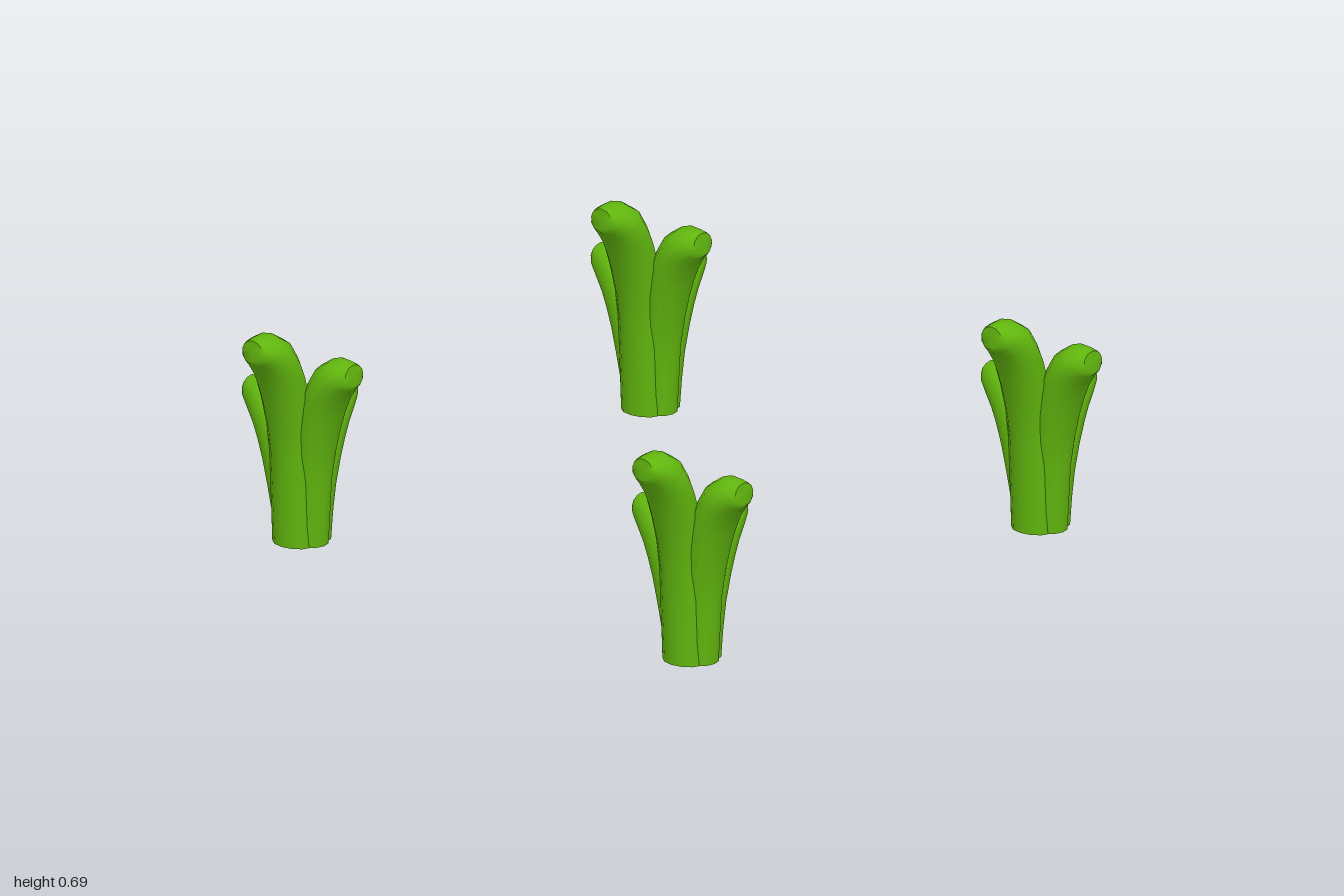
import * as THREE from 'three';
import { toCreasedNormals } from 'three/addons/utils/BufferGeometryUtils.js';

const SIDES = 12;

// Cross-sections from root to tip, measured down from the blade's top:
// outer reach, outer depth, inner reach, inner depth, half width
const SECTIONS = [
  [0.105, 0.40, -0.010, 0.38, 0.072],
  [0.115, 0.32, 0.000, 0.28, 0.075],
  [0.135, 0.24, 0.015, 0.19, 0.079],
  [0.155, 0.18, 0.033, 0.13, 0.081],
  [0.175, 0.135, 0.053, 0.085, 0.081],
  [0.200, 0.100, 0.087, 0.030, 0.078],
  [0.218, 0.082, 0.135, 0.000, 0.066],
  [0.225, 0.075, 0.185, 0.000, 0.052],
  [0.225, 0.068, 0.217, 0.004, 0.040],
];

// A blade growing up from y = 0 and bending towards +x
function bladeGeometry(height, reach, baseHalfWidth) {
  const rows = SECTIONS.map(([ro, outerDepth, ri, innerDepth, w]) =>
    [ro * reach, height - outerDepth, ri * reach, height - innerDepth, w]);
  rows.unshift([0.09, 0, -0.015, 0, baseHalfWidth]);
  rows[1][4] = (baseHalfWidth + rows[1][4]) / 2;
  const pos = [], index = [];
  for (const [ro, yo, ri, yi, w] of rows) {
    for (let j = 0; j < SIDES; j++) {
      const a = (j / SIDES) * Math.PI * 2, c = Math.cos(a);
      pos.push((ro + ri) / 2 + c * (ro - ri) / 2, (yo + yi) / 2 + c * (yo - yi) / 2, Math.sin(a) * w);
    }
  }
  // end cap centres
  const root = pos.length / 3, tip = root + 1, last = rows.length - 1;
  for (const [ro, yo, ri, yi] of [rows[0], rows[last]]) pos.push((ro + ri) / 2, (yo + yi) / 2, 0);
  for (let j = 0; j < SIDES; j++) {
    const k = (j + 1) % SIDES;
    for (let i = 0; i < last; i++) {
      const a = i * SIDES + j, b = i * SIDES + k;
      index.push(a, a + SIDES, b, b, a + SIDES, b + SIDES);
    }
    index.push(root, j, k, tip, last * SIDES + k, last * SIDES + j);
  }
  const g = new THREE.BufferGeometry();
  g.setAttribute('position', new THREE.Float32BufferAttribute(pos, 3));
  g.setIndex(index);
  return toCreasedNormals(g, 1.05);
}

export function createModel() {
  const model = new THREE.Group();
  model.name = 'grassTufts';
  const green = new THREE.MeshStandardMaterial({ color: 0x61b60e });
  green.name = 'leafGreen';

  // name, geometry, turn about y
  const blades = [
    ['tallBlade', bladeGeometry(0.69, 1, 0.07), Math.PI],
    ['frontBlade', bladeGeometry(0.605, 0.95, 0.055), -Math.PI / 2],
    ['leftBlade', bladeGeometry(0.48, 0.94, 0.07), 0],
    ['backBlade', bladeGeometry(0.48, 0.92, 0.055), Math.PI / 2],
  ];

  // One tuft at each corner
  for (const x of [-0.78, 0.78]) {
    for (const z of [-0.78, 0.78]) {
      const tuft = new THREE.Group();
      tuft.name = (z > 0 ? 'front' : 'back') + (x > 0 ? 'Left' : 'Right') + 'Tuft';
      tuft.position.set(x + 0.005, 0, z);
      for (const [name, geometry, turn] of blades) {
        const blade = new THREE.Mesh(geometry, green);
        blade.name = name;
        blade.rotation.y = turn;
        tuft.add(blade);
      }
      model.add(tuft);
    }
  }
  return model;
}
